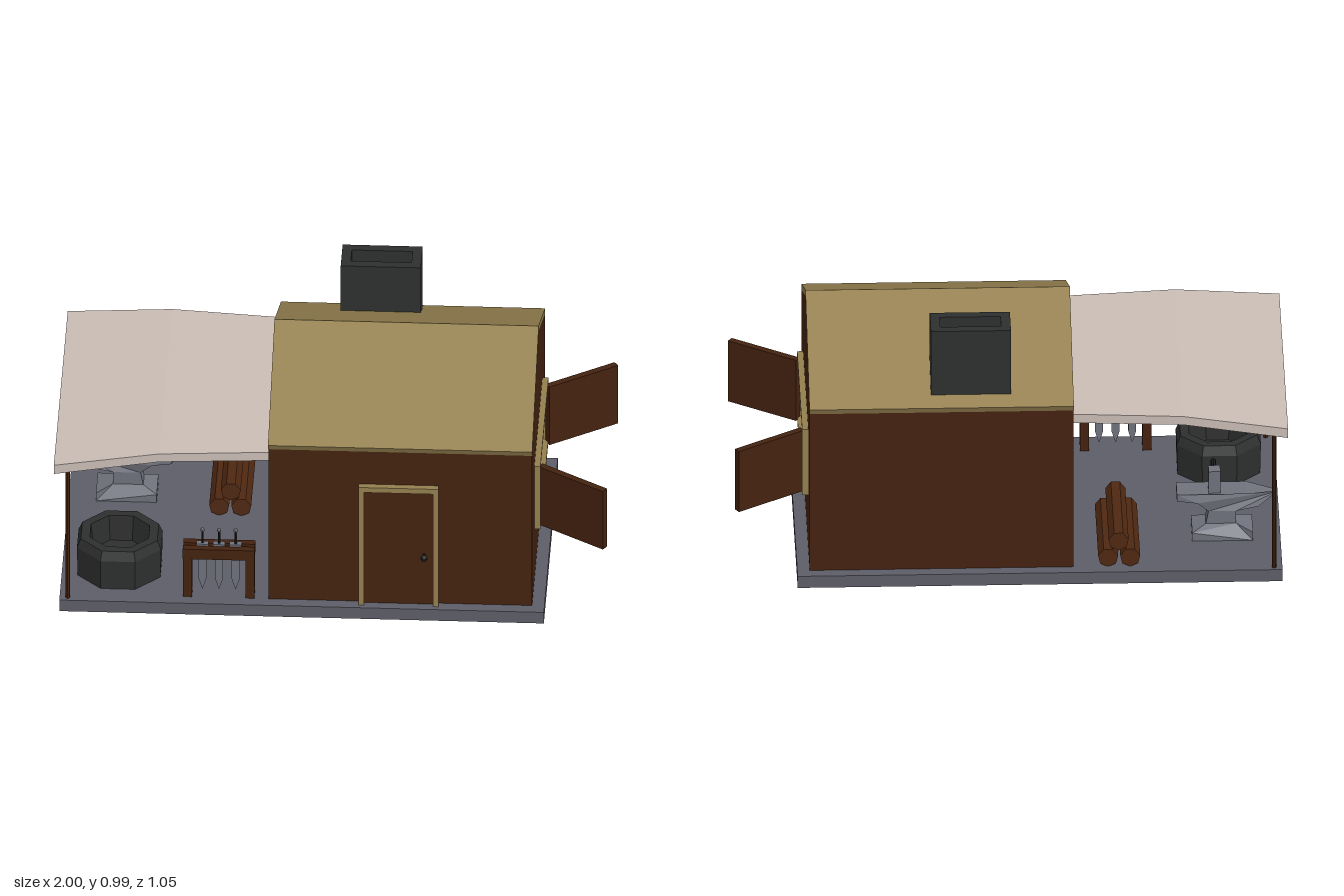
import * as THREE from 'three';

const mat = (name, color) => {
  const m = new THREE.MeshStandardMaterial({ color });
  m.name = name;
  return m;
};

export function createModel() {
  const wood = mat('dark wood', 0x44220f);
  const thatch = mat('tan roof and trim', 0x94804f);
  const coal = mat('charcoal stone', 0x2e2f2f);
  const stone = mat('grey slab', 0x5e5e69);
  const cloth = mat('canvas', 0xcbbeb6);
  const iron = mat('iron', 0x70727d);
  const logWood = mat('log wood', 0x4f2812);
  const black = mat('black metal', 0x1d1d1d);

  const model = new THREE.Group();
  model.name = 'workshop';

  // Faceted mesh helper
  const add = (name, geometry, material, parent = model) => {
    const g = geometry.index ? geometry.toNonIndexed() : geometry;
    g.computeVertexNormals();
    const mesh = new THREE.Mesh(g, material);
    mesh.name = name;
    parent.add(mesh);
    return mesh;
  };
  // Box given by its limits
  const box = (name, x0, x1, y0, y1, z0, z1, material, parent) => {
    const g = new THREE.BoxGeometry(x1 - x0, y1 - y0, z1 - z0);
    g.translate((x0 + x1) / 2, (y0 + y1) / 2, (z0 + z1) / 2);
    return add(name, g, material, parent);
  };
  const poly = (pts) => new THREE.Shape(pts.map(([x, y]) => new THREE.Vector2(x, y)));
  const rect = (x0, x1, y0, y1) => poly([[x0, y0], [x1, y0], [x1, y1], [x0, y1]]);
  const extrude = (shape, depth) => new THREE.ExtrudeGeometry(shape, { depth, bevelEnabled: false });
  // Shape drawn across z and y, extruded along x
  const extrudeX = (shape, x0, x1) => extrude(shape, x1 - x0).rotateY(Math.PI / 2).translate(x0, 0, 0);
  // Scale the z of a unit-deep solid by a rule
  const shapeZ = (g, half) => {
    const p = g.attributes.position;
    for (let i = 0; i < p.count; i++) p.setZ(i, p.getZ(i) * half(p.getX(i), p.getY(i)));
    return g;
  };

  const floor = 0.047;
  box('floorSlab', -0.98, 0.775, 0, floor, -0.525, 0.525, stone);

  // House: two long walls, window gable, open gable
  for (const s of [-1, 1]) {
    const a = s * 0.48, b = s * 0.46;
    box(s > 0 ? 'frontWall' : 'backWall', -0.225, 0.73, floor, 0.695, Math.min(a, b), Math.max(a, b), wood);
  }
  const gable = poly([[-0.475, floor], [0.475, floor], [0.475, 0.692], [0, 0.917], [-0.475, 0.692]]);
  gable.holes.push(rect(-0.287, 0.287, 0.277, 0.517));
  add('windowGable', extrudeX(gable, 0.71, 0.73), wood);
  const openGable = poly([[-0.475, 0.635], [0.475, 0.635], [0.475, 0.692], [0, 0.917], [-0.475, 0.692]]);
  add('openGable', extrudeX(openGable, -0.224, -0.205), wood);

  const roof = poly([[0.49, 0.708], [0, 0.94], [-0.49, 0.708], [-0.48, 0.686], [0, 0.914], [0.48, 0.686]]);
  add('roof', extrudeX(roof, -0.226, 0.731), thatch);

  // Hollow chimney
  const flue = rect(0, 0.29, 0.29, 0.435);
  flue.holes.push(rect(0.035, 0.255, 0.325, 0.4));
  add('chimney', extrude(flue, 0.293).rotateX(-Math.PI / 2).translate(0, 0.7, 0), coal);
  box('chimneyFloor', 0.03, 0.26, 0.9, 0.91, -0.405, -0.32, coal);

  // Door
  const doorFrame = poly([[0.102, floor], [0.122, floor], [0.122, 0.527], [0.373, 0.527],
    [0.373, floor], [0.392, floor], [0.392, 0.548], [0.102, 0.548]]);
  add('doorFrame', extrude(doorFrame, 0.03).translate(0, 0, 0.475), thatch);
  box('door', 0.122, 0.373, floor, 0.527, 0.475, 0.488, wood);
  add('doorKnob', new THREE.SphereGeometry(0.013, 10, 8).translate(0.34, 0.258, 0.513), black);
  add('knobStem', new THREE.CylinderGeometry(0.005, 0.005, 0.03, 8).rotateX(Math.PI / 2).translate(0.34, 0.258, 0.498), black);

  // Window frame and shutters
  const windowFrame = rect(-0.303, 0.303, 0.263, 0.531);
  windowFrame.holes.push(rect(-0.287, 0.287, 0.277, 0.517));
  add('windowFrame', extrudeX(windowFrame, 0.708, 0.752), thatch);
  for (const s of [-1, 1]) {
    const g = new THREE.BoxGeometry(0.29, 0.247, 0.026).translate(0.145, 0, 0);
    const shutter = add(s > 0 ? 'leftShutter' : 'rightShutter', g, wood);
    shutter.position.set(0.75, 0.393, s * 0.27);
    shutter.rotation.y = -s * 0.585;
  }

  // Canopy widening outward, with two posts
  const awning = poly([[-1, 0.585], [-0.62, 0.628], [-0.225, 0.625], [-0.225, 0.66], [-0.62, 0.662], [-1, 0.622]]);
  const awningGeo = extrude(awning, 2).translate(0, 0, -1);
  add('canopy', shapeZ(awningGeo, (x) => 0.46 + 0.065 * (-0.225 - x) / 0.775), cloth);
  for (const z of [-0.505, 0.505]) {
    add('canopyPost', new THREE.CylinderGeometry(0.008, 0.008, 0.55, 8).translate(-0.95, floor + 0.275, z), wood);
  }

  // Octagonal fire pit
  const pit = [[0.162, floor], [0.165, 0.165], [0.15, 0.2], [0.115, 0.2], [0.105, 0.1], [0, 0.1]]
    .map(([r, y]) => new THREE.Vector2(r, y));
  add('firePit', new THREE.LatheGeometry(pit, 8, Math.PI / 8).translate(-0.772, 0, 0.29), coal);

  // Anvil: narrow waist and a horn tapering toward -x
  const anvil = new THREE.Group();
  anvil.name = 'anvil';
  anvil.position.z = -0.225;
  model.add(anvil);
  const side = poly([[-0.88, floor], [-0.66, floor], [-0.66, 0.08], [-0.71, 0.1], [-0.72, 0.15], [-0.68, 0.19],
    [-0.605, 0.2], [-0.605, 0.226], [-0.86, 0.226], [-0.97, 0.214], [-0.9, 0.175], [-0.82, 0.15], [-0.82, 0.1], [-0.88, 0.08]]);
  const anvilHalf = (x, y) => {
    if (x < -0.95) return 0.006;
    if (y > 0.09 && y < 0.16) return 0.035;
    return y < 0.09 ? 0.07 : 0.05;
  };
  add('anvilBody', shapeZ(extrude(side, 2).translate(0, 0, -1), anvilHalf), iron, anvil);

  // Hammer resting on the anvil
  box('hammerHead', -0.763, -0.72, 0.226, 0.314, -0.04, 0.01, iron, anvil);
  add('hammerHandle', new THREE.CylinderGeometry(0.01, 0.01, 0.16, 8).rotateX(Math.PI / 2).translate(-0.742, 0.27, 0.05), black, anvil);

  // Stack of logs
  for (const [x, y] of [[-0.43, 0.082], [-0.35, 0.082], [-0.388, 0.148]]) {
    add('log', new THREE.CylinderGeometry(0.037, 0.037, 0.4, 7).rotateX(Math.PI / 2).translate(x, y, -0.28), logWood);
  }

  // Weapon rack
  const rack = new THREE.Group();
  rack.name = 'weaponRack';
  model.add(rack);
  for (const z of [0.425, 0.47]) box('rackRail', -0.535, -0.275, 0.21, 0.252, z - 0.014, z + 0.014, wood, rack);
  for (const x of [-0.518, -0.292]) box('rackLeg', x - 0.016, x + 0.016, floor, 0.215, 0.415, 0.48, wood, rack);
  const blade = poly([[-0.014, 0.25], [-0.014, 0.11], [0, 0.065], [0.014, 0.11], [0.014, 0.25]]);
  for (const x of [-0.465, -0.405, -0.345]) {
    add('blade', extrude(blade, 0.01).translate(x, 0, 0.443), iron, rack);
    box('crossguard', x - 0.022, x + 0.022, 0.25, 0.26, 0.436, 0.46, iron, rack);
    add('grip', new THREE.CylinderGeometry(0.005, 0.005, 0.06, 6).translate(x, 0.285, 0.448), black, rack);
    add('pommel', new THREE.SphereGeometry(0.008, 8, 6).translate(x, 0.315, 0.448), iron, rack);
  }

  return model;
}
